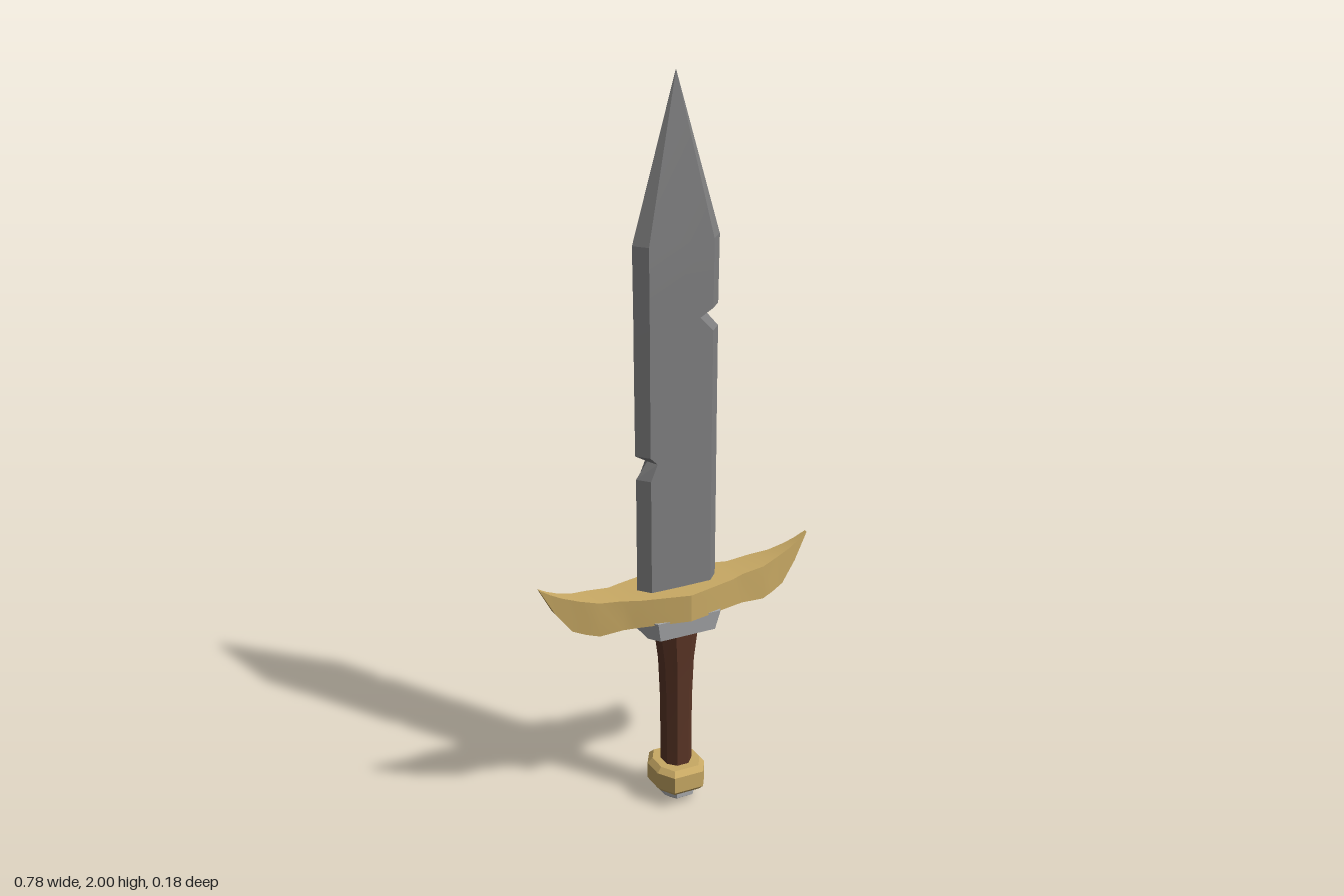
import * as THREE from 'three';
import { toCreasedNormals } from 'three/addons/utils/BufferGeometryUtils.js';

const material = (name, color) => {
  const m = new THREE.MeshStandardMaterial({ color });
  m.name = name;
  return m;
};

// Skin a list of equal-length rings, closing both ends with fans.
function loft(rings, crease = 0.15) {
  const n = rings[0].length;
  const index = [];
  for (let r = 0; r < rings.length - 1; r++) {
    for (let i = 0; i < n; i++) {
      const j = (i + 1) % n;
      const a = r * n + i, b = r * n + j, c = b + n, d = a + n;
      index.push(a, b, c, a, c, d);
    }
  }
  const last = (rings.length - 1) * n;
  for (let i = 1; i < n - 1; i++) {
    index.push(0, i + 1, i, last, last + i, last + i + 1);
  }
  const g = new THREE.BufferGeometry();
  g.setAttribute('position', new THREE.Float32BufferAttribute(rings.flat(2), 3));
  g.setIndex(index);
  return toCreasedNormals(g, crease);
}

// Eight-sided ring: half width a, half depth b, front facet half width fa, side facet half depth fb.
const octagon = ([y, a, b, fa, fb]) => [
  [-fa, y, b], [fa, y, b], [a, y, fb], [a, y, -fb],
  [fa, y, -b], [-fa, y, -b], [-a, y, -fb], [-a, y, fb],
];

// Six-sided blade ring: left edge, left bevel, right bevel, right edge, half thickness.
const bladeRing = ([y, le, lb, rb, re, z]) => [
  [lb, y, z], [rb, y, z], [re, y, 0], [rb, y, -z], [lb, y, -z], [le, y, 0],
];

// Half depth of the guard at a distance from the middle.
function guardDepth(x) {
  const p = [[0, 0.09], [0.14, 0.057], [0.175, 0.044], [0.235, 0.043], [0.29, 0.026], [0.392, 0.005]];
  const i = Math.max(1, p.findIndex(([px]) => x <= px));
  const t = (x - p[i - 1][0]) / (p[i][0] - p[i - 1][0]);
  return THREE.MathUtils.lerp(p[i - 1][1], p[i][1], t);
}

export function createModel() {
  const group = new THREE.Group();
  const steel = material('blade steel', 0x7f7f80);
  const silver = material('light steel', 0xa9abad);
  const gold = material('gold', 0xc8a964);
  const leather = material('brown grip', 0x5a3526);

  const add = (name, geometry, mat) => {
    const mesh = new THREE.Mesh(geometry, mat);
    mesh.name = name;
    group.add(mesh);
  };

  // Blade with one nick in each edge
  add('blade', loft([
    [0.60, -0.113, -0.086, 0.085, 0.115, 0.032],
    [0.96, -0.114, -0.087, 0.086, 0.117, 0.032],
    [1.005, -0.082, -0.068, 0.086, 0.117, 0.032],
    [1.025, -0.116, -0.088, 0.086, 0.117, 0.032],
    [1.34, -0.118, -0.089, 0.088, 0.119, 0.033],
    [1.38, -0.118, -0.089, 0.052, 0.085, 0.033],
    [1.40, -0.118, -0.089, 0.088, 0.119, 0.033],
    [1.58, -0.12, -0.09, 0.09, 0.122, 0.033],
    [2.0, -0.001, -0.0005, 0.0005, 0.001, 0.0008],
  ].map(bladeRing)), steel);

  // Guard: top x, top y, bottom x, bottom y for one half, mirrored
  const half = [
    [0, 0.645, 0, 0.57],
    [0.14, 0.646, 0.14, 0.568],
    [0.175, 0.648, 0.175, 0.564],
    [0.24, 0.655, 0.24, 0.56],
    [0.29, 0.665, 0.275, 0.568],
    [0.335, 0.68, 0.31, 0.582],
    [0.365, 0.694, 0.352, 0.637],
    [0.392, 0.71, 0.388, 0.702],
  ];
  const guardRing = ([tx, ty, bx, by], s) => {
    const tz = guardDepth(tx), bz = guardDepth(bx);
    return [[s * bx, by, -bz], [s * tx, ty, -tz], [s * tx, ty, tz], [s * bx, by, bz]];
  };
  add('guard', loft([
    ...half.slice(1).reverse().map((h) => guardRing(h, -1)),
    ...half.map((h) => guardRing(h, 1)),
  ], 0.4), gold);

  // Collar under the guard
  add('collar', loft([
    [0.52, 0.102, 0.07, 0.08, 0.04],
    [0.575, 0.116, 0.077, 0.09, 0.045],
  ].map(octagon)), silver);

  // Grip flaring towards the collar
  add('grip', loft([
    [0.09, 0.037, 0.041, 0.017, 0.019],
    [0.30, 0.038, 0.043, 0.017, 0.02],
    [0.42, 0.043, 0.046, 0.019, 0.021],
    [0.53, 0.057, 0.05, 0.025, 0.023],
  ].map(octagon), 0.3), leather);

  // Pommel ring and its end cap
  add('pommel', loft([
    [0.038, 0.058, 0.064, 0.036, 0.026],
    [0.052, 0.071, 0.078, 0.043, 0.031],
    [0.098, 0.071, 0.078, 0.043, 0.031],
    [0.112, 0.058, 0.064, 0.036, 0.026],
  ].map(octagon)), gold);
  add('pommelCap', loft([
    [0, 0.024, 0.028, 0.013, 0.012],
    [0.018, 0.045, 0.053, 0.024, 0.022],
    [0.045, 0.045, 0.053, 0.024, 0.022],
  ].map(octagon)), silver);

  return group;
}
